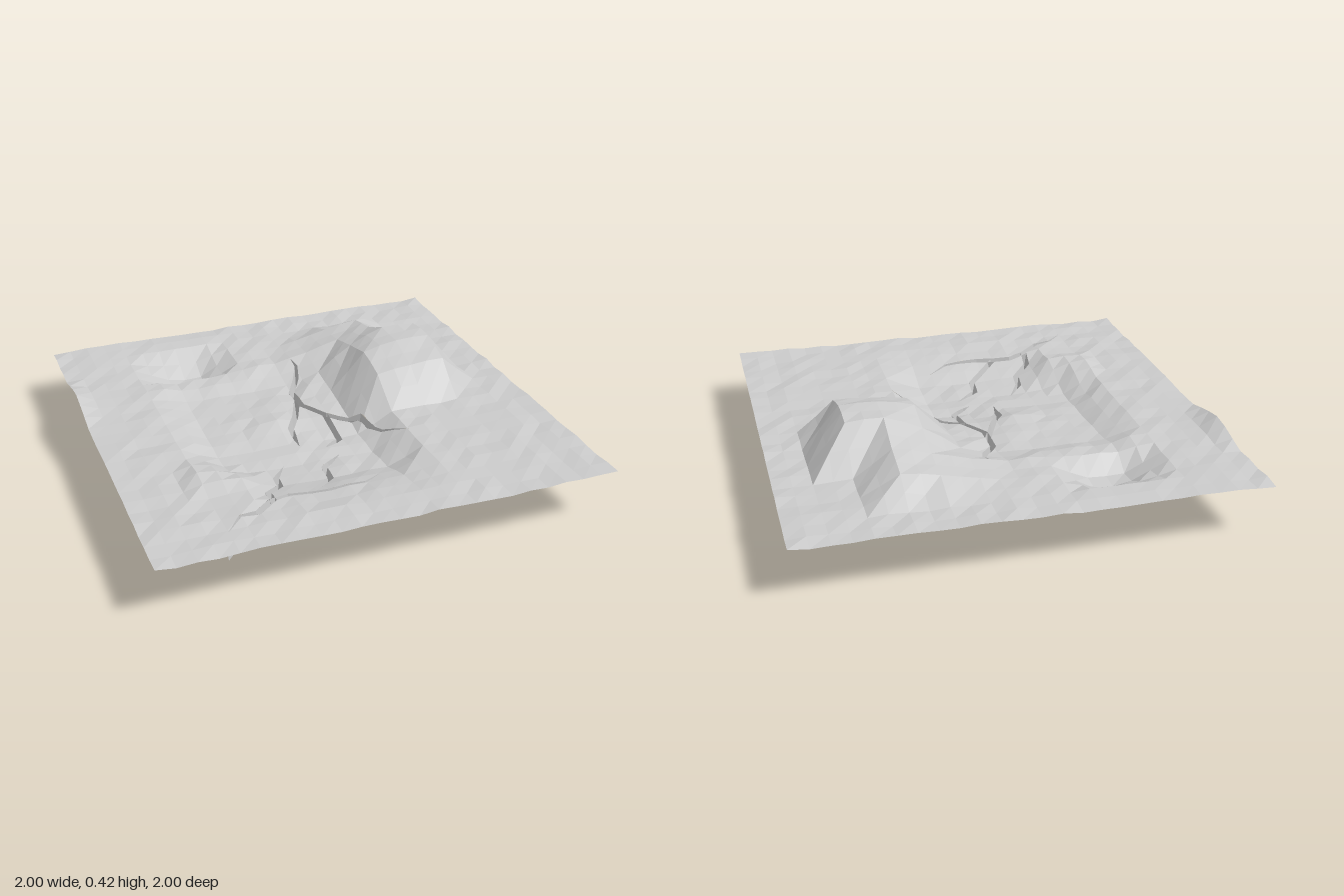
import * as THREE from 'three';

const N = 24, STEP = 2 / N, BASE = 0.233;
const material = new THREE.MeshStandardMaterial({ color: 0xcccccc, flatShading: true, side: THREE.DoubleSide });

// Piecewise-linear profile through [position, value] knots
function profile(t, knots) {
  if (t <= knots[0][0]) return knots[0][1];
  for (let i = 1; i < knots.length; i++) {
    const [a, va] = knots[i - 1], [b, vb] = knots[i];
    if (t <= b) return va + (vb - va) * (t - a) / (b - a);
  }
  return knots[knots.length - 1][1];
}
const bump = (x, z, cx, cz, rx, rz) =>
  Math.max(0, 1 - Math.abs(x - cx) / rx) * Math.max(0, 1 - Math.abs(z - cz) / rz);

// Small repeatable roughness, -1 to 1
function rough(i, j) {
  const s = Math.sin(i * 127.1 + j * 311.7) * 43758.5453;
  return 2 * (s - Math.floor(s)) - 1;
}

// Large forms: a hill with a narrow back ridge and a wide basin with a mound
function landform(i, j) {
  const x = -1 + i * STEP, z = -1 + j * STEP;
  const [foot, shoulder] = z < -0.25 ? [0.22, 0.65] : [0.13, 0.82];
  const rightSide = z < -0.45 ? [[0.667, 0]] : [[0.667, 1], [0.833, 0]];
  const hill = 0.187 * profile(x, [[0, 0], [0.167, foot], [0.333, shoulder], [0.5, 1], ...rightSide])
    * profile(z, [[-0.833, 0], [-0.667, 0.47], [-0.5, 0.64], [-0.333, 1], [-0.167, 1], [0, 0.73], [0.167, 0]]);
  const west = z > 0.4 ? 0.16 : 0;
  const basin = 0.086 * profile(x, [[-0.667 + west, 0], [-0.5 + west, 0.9], [0.167, 1], [0.333, 0]])
    * profile(z, [[-0.5, 0], [-0.333, 0.55], [-0.167, 0.6], [0, 0.8], [0.167, 1], [0.333, 1], [0.5, 0.85], [0.667, 0.25], [0.833, 0]])
    * (1 - hill / 0.2);
  return hill - basin + 0.035 * bump(x, z, -0.167, 0, 0.25, 0.25);
}

// Ground height: the landform on a coarse grid, plus a pit, a knoll, a raised edge and roughness
function height(i, j) {
  const x = -1 + i * STEP, z = -1 + j * STEP, oi = i & 1, oj = j & 1;
  const form = (landform(i - oi, j + oj) + landform(i + oi, j - oj)) / 2;
  const pit = 0.095 * profile(x, [[-0.667, 0], [-0.5, 0.9], [-0.333, 1], [-0.16, 0]])
    * profile(z, [[-0.833, 0], [-0.667, 1], [-0.583, 0.95], [-0.5, 0.25], [-0.417, 0]]);
  return BASE + form - pit + 0.07 * bump(x, z, -0.58, 0.4, 0.17, 0.17)
    + 0.057 * bump(x, z, -1, -0.4, 0.09, 0.25) + 0.006 * rough(i, j);
}
const vertex = (i, j) => [-1 + i * STEP, height(i, j), -1 + j * STEP];

// Height of the triangulated ground at any point
function ground(x, z) {
  const u = (x + 1) / STEP, v = (z + 1) / STEP;
  const i = Math.floor(u), j = Math.floor(v), fu = u - i, fv = v - j;
  const b = height(i, j + 1), d = height(i + 1, j);
  if (fu + fv <= 1) {
    const a = height(i, j);
    return a + (d - a) * fu + (b - a) * fv;
  }
  const c = height(i + 1, j + 1);
  return c + (b - c) * (1 - fu) + (d - c) * (1 - fv);
}

// Cracks: points are [x, z, height of the bottom edge]; widths taper to the tips
const cracks = [
  { name: 'frontCrack', points: [[-0.67, 0.85, 0.1], [-0.59, 0.76, 0.1], [-0.51, 0.75, 0.1], [-0.42, 0.67, 0.1],
    [-0.34, 0.64, 0.1], [-0.25, 0.65, 0.1], [-0.17, 0.66, 0.1], [0, 0.65, 0.1], [0.1, 0.58, 0.11]] },
  { name: 'frontCrackLeftBranch', forked: true, points: [[-0.42, 0.67, 0.09], [-0.41, 0.58, 0.06],
    [-0.33, 0.5, 0.02], [-0.32, 0.42, 0.02], [-0.25, 0.32, 0.03]] },
  { name: 'frontCrackMiddleBranch', forked: true, points: [[-0.25, 0.65, 0.09], [-0.1, 0.5, 0.07],
    [-0.09, 0.4, 0.06], [0.02, 0.31, 0.06]] },
  { name: 'centreCrack', points: [[0.08, -0.5, 0.1], [0.09, -0.44, 0.1], [0.06, -0.36, 0.08], [0, -0.26, 0.06],
    [0, -0.12, 0.06], [0.07, 0, 0.05], [0.2, 0.1, 0.08], [0.25, 0.24, 0.08], [0.34, 0.35, 0.08]] },
  { name: 'centreCrackLeftBranch', forked: true, points: [[0, -0.18, 0.06], [-0.07, -0.02, 0.05],
    [-0.12, 0.06, 0.03], [-0.13, 0.2, 0]] },
  { name: 'centreCrackFrontBranch', forked: true, points: [[0.07, 0, 0.05], [0.07, 0.18, 0.03], [-0.02, 0.24, 0.03]] },
];

// Left lip, right lip and bottom of a crack at short steps along its path
function crackSections({ points, forked }) {
  const path = [];
  points.forEach((p, k) => {
    const q = points[k + 1];
    if (!q) return path.push(p);
    for (let s = 0; s < 3; s++) path.push(p.map((v, m) => v + (q[m] - v) * s / 3));
  });
  const last = path.length - 1;
  return path.map(([x, z, bottom], k) => {
    const a = path[Math.max(k - 1, 0)], b = path[Math.min(k + 1, last)];
    const dx = b[0] - a[0], dz = b[1] - a[1], len = Math.hypot(dx, dz);
    const t = k / last;
    const w = 0.014 * Math.min(1, (1 - t) * 4, forked ? 1 : t * 4);
    const lip = s => {
      const px = x - s * w * dz / len, pz = z + s * w * dx / len;
      return [px, ground(px, pz), pz];
    };
    return { left: lip(1), right: lip(-1), bottom: [x, bottom, z] };
  });
}

// Part of a polygon on one side of the line a-b, seen from above
function clip(poly, a, b, sign) {
  const side = p => sign * ((b[0] - a[0]) * (p[2] - a[2]) - (b[2] - a[2]) * (p[0] - a[0]));
  const out = [];
  poly.forEach((p, k) => {
    const q = poly[(k + 1) % poly.length], sp = side(p), sq = side(q);
    if (sp >= 0) out.push(p);
    if ((sp > 0 && sq < 0) || (sp < 0 && sq > 0)) out.push(p.map((v, m) => v + (q[m] - v) * sp / (sp - sq)));
  });
  return out.length > 2 ? out : null;
}

// Cuts a convex quad out of a polygon, leaving the pieces around it
function subtract(poly, quad) {
  for (const m of [0, 2]) {
    const ps = poly.map(p => p[m]), qs = quad.map(p => p[m]);
    if (Math.max(...ps) <= Math.min(...qs) || Math.min(...ps) >= Math.max(...qs)) return [poly];
  }
  const pieces = [];
  let rest = poly;
  for (let k = 0; k < 4 && rest; k++) {
    const a = quad[k], b = quad[(k + 1) % 4];
    if (Math.hypot(b[0] - a[0], b[2] - a[2]) < 1e-6) continue;
    const outside = clip(rest, a, b, -1);
    if (outside) pieces.push(outside);
    rest = clip(rest, a, b, 1);
  }
  return rest ? pieces : [poly];
}

function polygonMesh(name, polygons) {
  const pos = [];
  for (const p of polygons)
    for (let k = 1; k < p.length - 1; k++) pos.push(...p[0], ...p[k], ...p[k + 1]);
  const geometry = new THREE.BufferGeometry();
  geometry.setAttribute('position', new THREE.Float32BufferAttribute(pos, 3));
  geometry.computeVertexNormals();
  const mesh = new THREE.Mesh(geometry, material);
  mesh.name = name;
  return mesh;
}

export function createModel() {
  const group = new THREE.Group();
  group.name = 'crackedTerrain';

  // Crack walls, narrowing to a deep bottom edge
  const slots = [];
  for (const crack of cracks) {
    const sections = crackSections(crack), walls = [];
    for (let k = 0; k < sections.length - 1; k++) {
      const s = sections[k], e = sections[k + 1];
      walls.push([s.left, s.bottom, e.bottom, e.left], [s.right, e.right, e.bottom, s.bottom]);
      slots.push([s.right, e.right, e.left, s.left]);
    }
    group.add(polygonMesh(crack.name, walls));
  }

  // Ground sheet with the cracks cut open
  let sheet = [];
  for (let j = 0; j < N; j++) for (let i = 0; i < N; i++) {
    const a = vertex(i, j), b = vertex(i, j + 1), c = vertex(i + 1, j + 1), d = vertex(i + 1, j);
    sheet.push([a, b, d], [b, c, d]);
  }
  for (const slot of slots) sheet = sheet.flatMap(p => subtract(p, slot));
  group.add(polygonMesh('ground', sheet));
  return group;
}
